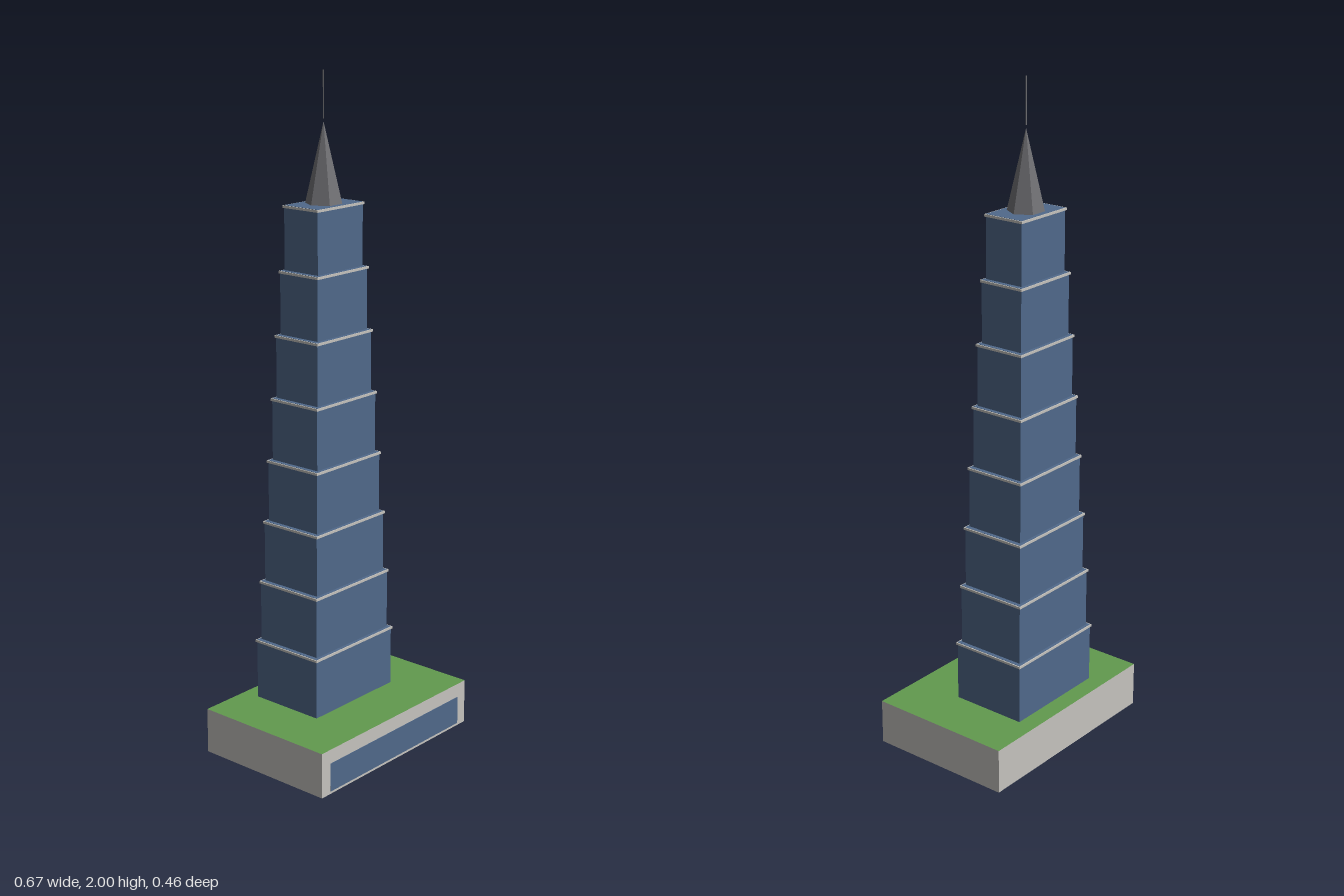
import * as THREE from 'three';

const mat = (name, color, extra = {}) => {
  const m = new THREE.MeshStandardMaterial({ color, ...extra });
  m.name = name;
  return m;
};

export function createModel() {
  const glass = mat('blue glass', 0x50698b);
  const stone = mat('pale stone', 0xc6c4bf, { side: THREE.DoubleSide });
  const grass = mat('green lawn', 0x629a4e, { side: THREE.DoubleSide });
  const metal = mat('dark metal', 0x707074, { flatShading: true });

  const model = new THREE.Group();
  model.name = 'tower';
  const add = (name, geometry, material, x, y, z, parent = model) => {
    const mesh = new THREE.Mesh(geometry, material);
    mesh.name = name;
    mesh.position.set(x, y, z);
    parent.add(mesh);
    return mesh;
  };

  // Podium: four thin walls, open underneath, with a lawn as its lid
  const W = 0.666, D = 0.454, H = 0.138;
  const podium = new THREE.Group();
  podium.name = 'podium';
  model.add(podium);
  for (let i = 0; i < 4; i++) {
    const side = i % 2 === 1;
    const a = i * Math.PI / 2;
    const r = (side ? W : D) / 2;
    const wall = add('podiumWall', new THREE.PlaneGeometry(side ? D : W, H), stone,
      Math.sin(a) * r, H / 2, Math.cos(a) * r, podium);
    wall.rotation.y = a;
  }
  const lawn = add('lawn', new THREE.PlaneGeometry(W, D), grass, 0, H, 0, podium);
  lawn.rotation.x = -Math.PI / 2;
  add('frontWindow', new THREE.BoxGeometry(0.594, 0.087, 0.003), glass, 0, 0.0515, D / 2, podium);

  // Eight stacked tiers, each with a thin stone rim around its top
  const tiers = 8, step = 0.1863, cz = -0.0545, rimH = 0.007, lip = 0.0035;
  for (let i = 0; i < tiers; i++) {
    const w = 2 * (0.1745 - i * 0.0106);
    const d = 2 * (0.1215 - i * 0.0079);
    const top = H + (i + 1) * step;
    const tier = new THREE.Group();
    tier.name = 'tier';
    model.add(tier);
    const h = step - 0.001;
    add('tierBlock', new THREE.BoxGeometry(w - 2 * lip, h, d - 2 * lip), glass, 0, top - h / 2, cz, tier);
    add('tierRim', new THREE.BoxGeometry(w, rimH, d), stone, 0, top - 0.0006 - rimH / 2, cz, tier);
  }

  // Six-sided spire with corners on the x axis, and a thin mast over it
  const roof = H + tiers * step;
  const spireH = 0.23;
  const spire = add('spire', new THREE.ConeGeometry(0.0535, spireH, 6), metal, 0, roof + spireH / 2, cz);
  spire.rotation.y = Math.PI / 6;
  const mastBase = 1.866;
  add('mast', new THREE.CylinderGeometry(0.002, 0.002, 2 - mastBase, 6), metal, 0, (2 + mastBase) / 2, cz);

  return model;
}
